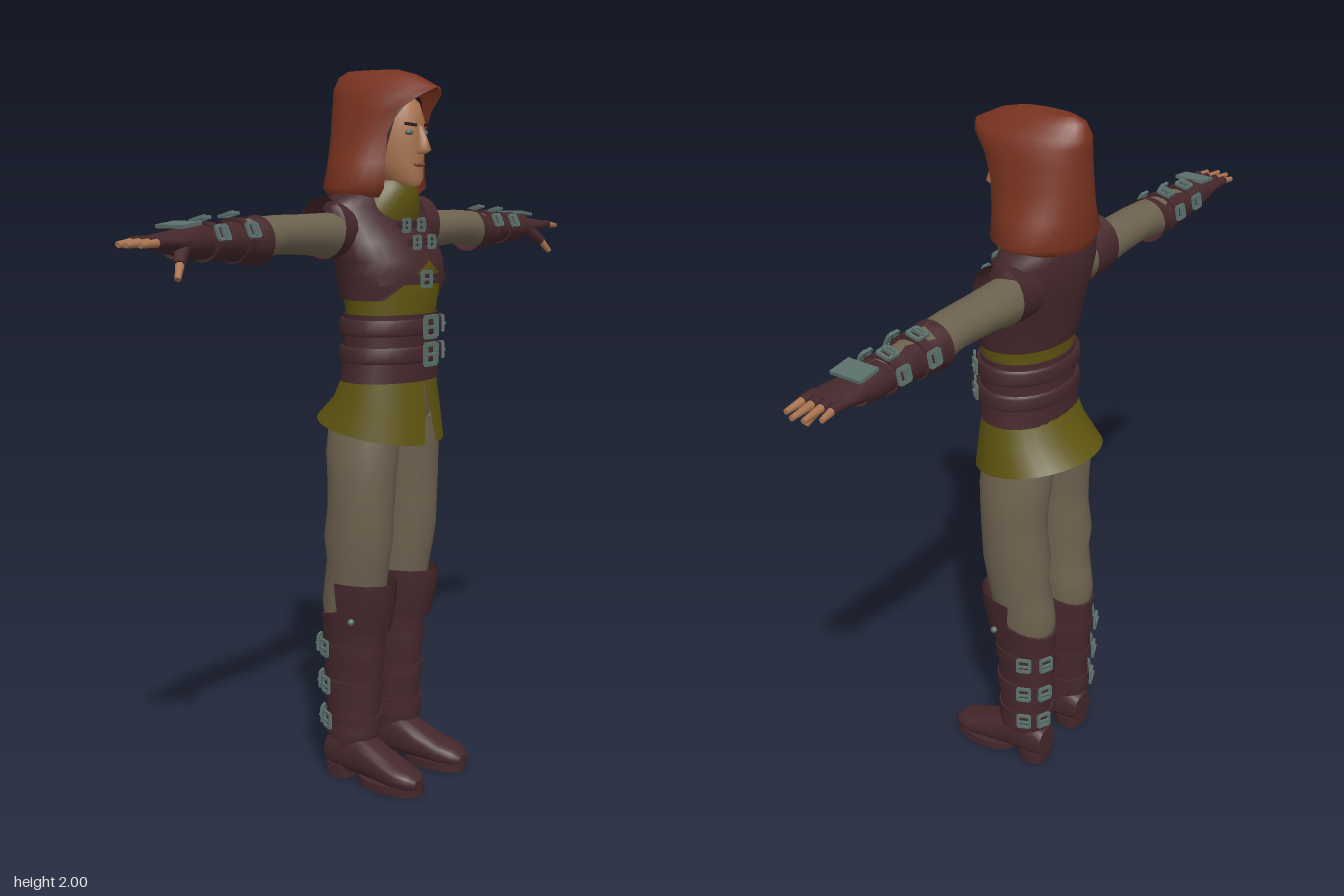
import * as THREE from 'three';
import { mergeGeometries } from 'three/addons/utils/BufferGeometryUtils.js';

const mat = (name, color, side = THREE.FrontSide) => {
  const m = new THREE.MeshStandardMaterial({ color, side });
  m.name = name;
  return m;
};
const HALF = Math.PI / 2;

// Lofted skin through elliptical rings. Each row: [height, cx, cz, rx, rz, halfGap, tilt].
// halfGap leaves an opening centred on angle `mid` (default: the front).
function loft(rows, { n = 20, exp = 2, mid = HALF, caps = true } = {}) {
  const open = rows.some(r => r[5] > 0);
  const w = open ? n + 1 : n, pos = [], idx = [];
  const pw = v => Math.sign(v) * Math.abs(v) ** (2 / exp);
  const ring = ([h, cx, cz, rx, rz, gap = 0, tilt = 0]) => {
    for (let j = 0; j < w; j++) {
      const a = mid + gap + (j / n) * (2 * Math.PI - 2 * gap);
      pos.push(cx + rx * pw(Math.cos(a)), h + tilt * Math.sin(a), cz + rz * pw(Math.sin(a)));
    }
  };
  rows.forEach(ring);
  for (let i = 0; i < rows.length - 1; i++) for (let j = 0; j < n; j++) {
    const k = (j + 1) % w, a = i * w + j, c = i * w + k;
    idx.push(a, a + w, c, c, a + w, c + w);
  }
  if (caps) [rows[0], rows[rows.length - 1]].forEach((r, top) => {
    const s = pos.length / 3;
    ring(r);
    pos.push(r[1], r[0], r[2]);
    for (let j = 0; j < n; j++) {
      const k = s + (j + 1) % w;
      idx.push(s + w, top ? k : s + j, top ? s + j : k);
    }
  });
  const g = new THREE.BufferGeometry();
  g.setAttribute('position', new THREE.Float32BufferAttribute(pos, 3));
  g.setIndex(idx);
  g.computeVertexNormals();
  return g;
}
// Arm rows are [x, y, z, ry, rz, halfGap]; built upright, then laid along +x
const along = g => g.rotateZ(-HALF);
const armLoft = (rows, o) => along(loft(rows.map(([x, y, ...r]) => [x, -y, ...r]), o));

const box = (w, h, d, x, y, z) => new THREE.BoxGeometry(w, h, d).translate(x, y, z);
function buckle(w, h, t = 0.008) {
  return mergeGeometries([
    box(w, t, t, 0, h / 2, 0), box(w, t, t, 0, -h / 2, 0),
    box(t, h, t, -w / 2, 0, 0), box(t, h, t, w / 2, 0, 0), box(w, t * 0.7, t, 0, 0, 0.004)]);
}
// Buckle seated on an elliptical ring at angle a
const buckleOn = (a, h, cx, cz, rx, rz, w, t) => buckle(w, t).rotateY(HALF - a)
  .translate(cx + rx * Math.cos(a), h, cz + rz * Math.sin(a));
const rod = (p, q, r0, r1) => {
  const a = new THREE.Vector3(...p), d = new THREE.Vector3(...q).sub(a);
  const g = new THREE.CylinderGeometry(r1, r0, d.length(), 8).translate(0, d.length() / 2, 0);
  const turn = new THREE.Quaternion().setFromUnitVectors(new THREE.Vector3(0, 1, 0), d.normalize());
  return g.applyQuaternion(turn).translate(a.x, a.y, a.z);
};
function mirrored(g) {
  const m = g.clone().scale(-1, 1, 1), i = m.index.array;
  for (let k = 0; k < i.length; k += 3) [i[k], i[k + 1]] = [i[k + 1], i[k]];
  return m;
}

export function createModel() {
  const D = THREE.DoubleSide;
  const red = mat('hoodCloth', 0x78321f, D), brown = mat('leather', 0x44272b, D);
  const green = mat('tunicCloth', 0x5e540f, D), tan = mat('linen', 0x6d624f);
  const skin = mat('skin', 0xa8734f), metal = mat('metal', 0x5a706b);
  const hair = mat('hair', 0x2c1b15, D), lip = mat('lips', 0x84503c);
  const model = new THREE.Group();
  const add = (name, g, m) => {
    const mesh = new THREE.Mesh(g, m);
    mesh.name = name;
    model.add(mesh);
  };
  const pair = (name, g, m) => {
    add(name + 'Left', g, m);
    add(name + 'Right', mirrored(g), m);
  };

  // Head and face
  add('head', loft([[1.69, 0, 0.065, 0.028, 0.042], [1.71, 0, 0.045, 0.05, 0.07], [1.75, 0, 0.022, 0.067, 0.09],
    [1.8, 0, 0.008, 0.077, 0.107], [1.86, 0, 0, 0.08, 0.115], [1.91, 0, -0.01, 0.074, 0.11],
    [1.95, 0, -0.02, 0.05, 0.075]], { n: 24 }), skin);
  add('neck', loft([[1.6, 0, -0.03, 0.055, 0.06], [1.74, 0, -0.01, 0.053, 0.06]]), skin);
  add('nose', loft([[1.775, 0, 0.11, 0.014, 0.018], [1.785, 0, 0.115, 0.019, 0.032],
    [1.815, 0, 0.11, 0.012, 0.026], [1.85, 0, 0.105, 0.009, 0.012]], { n: 10 }), skin);
  add('lips', new THREE.SphereGeometry(1, 12, 8).scale(0.024, 0.008, 0.012).translate(0, 1.748, 0.108), lip);
  pair('eye', new THREE.SphereGeometry(1, 10, 8).scale(0.016, 0.008, 0.01).translate(0.034, 1.832, 0.1), metal);
  pair('eyebrow', box(0.036, 0.007, 0.008, 0, 0, 0).rotateY(0.35).rotateZ(0.12).translate(0.036, 1.853, 0.106), hair);
  add('hair', loft([[1.72, 0, 0, 0.08, 0.1, 1.15], [1.8, 0, 0, 0.088, 0.115, 1.05], [1.87, 0, -0.005, 0.088, 0.122, 0.85],
    [1.92, 0, -0.015, 0.075, 0.12, 0.35], [1.955, 0, -0.02, 0.05, 0.08, 0]], { n: 20, caps: false }), hair);

  // Hood with a peaked brim
  add('hood', loft([[1.66, 0, -0.045, 0.13, 0.115, 0.75], [1.685, 0, -0.04, 0.165, 0.13, 0.65],
    [1.75, 0, -0.035, 0.135, 0.135, 0.76], [1.83, 0, -0.022, 0.113, 0.148, 0.92], [1.89, 0, -0.012, 0.106, 0.157, 0.82],
    [1.93, 0, 0, 0.095, 0.17, 0.5], [1.95, 0, -0.002, 0.084, 0.17, 0.03], [1.985, 0, -0.03, 0.055, 0.127, 0],
    [2, 0, -0.045, 0.025, 0.085, 0]], { n: 28, caps: false }), red);
  add('hoodCrown', loft([[1.99, 0, -0.045, 0.02, 0.08], [2, 0, -0.045, 0.025, 0.085]], { n: 28 }), red);

  // Tunic, collar and skirt
  add('tunic', loft([[1.15, 0, 0.01, 0.15, 0.108], [1.34, 0, 0.015, 0.145, 0.112], [1.41, 0, 0.015, 0.157, 0.122],
    [1.5, 0, 0, 0.172, 0.125]], { n: 28 }), green);
  add('collar', loft([[1.61, 0, -0.005, 0.12, 0.075, 0, -0.02], [1.65, 0, 0, 0.105, 0.085, 0, -0.01],
    [1.685, 0, 0, 0.085, 0.085], [1.705, 0, 0, 0.07, 0.072]], { n: 24, caps: false }), green);
  add('skirt', loft([[1.02, 0, -0.022, 0.186, 0.176, 0.16, -0.035], [1.1, 0, 0, 0.17, 0.138, 0.06, -0.01],
    [1.175, 0, 0.01, 0.155, 0.115, 0, 0]], { n: 32, caps: false }), green);

  // Vest with an arched front hem and flared shoulders
  add('vest', loft([[1.385, 0, 0.015, 0.164, 0.124, 0.95], [1.42, 0, 0.016, 0.17, 0.132, 0.65], [1.45, 0, 0.014, 0.175, 0.135, 0.35],
    [1.49, 0, 0.008, 0.182, 0.135, 0.01], [1.54, 0, -0.012, 0.188, 0.125, 0], [1.59, 0, -0.033, 0.195, 0.108, 0],
    [1.635, 0, -0.043, 0.2, 0.092, 0], [1.66, 0, -0.045, 0.17, 0.085, 0], [1.685, 0, -0.035, 0.1, 0.075, 0]], { n: 32 }), brown);
  pair('shoulderCap', armLoft([[0.13, 1.57, -0.05, 0.075, 0.075], [0.19, 1.575, -0.05, 0.077, 0.08],
    [0.222, 1.58, -0.05, 0.083, 0.08]], { caps: false }), brown);
  const front = { n: 20, mid: -HALF, caps: false };
  add('chestStrap', loft([[1.428, 0, 0.016, 0.178, 0.138, 2.1], [1.455, 0, 0.015, 0.179, 0.139, 2.1]], front), brown);
  add('chestBuckle', buckle(0.04, 0.04).translate(-0.03, 1.442, 0.156), metal);
  [[1.585, 0.084], [1.54, 0.119]].forEach(([y, z]) => {
    add('vestClasp', box(0.12, 0.02, 0.012, 0, y, z), brown);
    pair('vestBuckle', buckle(0.026, 0.032).translate(0.035, y, z + 0.008), metal);
  });

  // Corset belt with two straps
  add('corset', loft([[1.16, 0, 0.01, 0.166, 0.12], [1.2, 0, 0.012, 0.161, 0.118], [1.28, 0, 0.014, 0.152, 0.117],
    [1.345, 0, 0.016, 0.152, 0.12]], { n: 28 }), brown);
  [1.235, 1.31].forEach(y => {
    add('beltStrap', loft([[y - 0.022, 0, 0.014, 0.164, 0.124], [y - 0.015, 0, 0.014, 0.168, 0.13],
      [y + 0.015, 0, 0.014, 0.167, 0.13], [y + 0.022, 0, 0.014, 0.16, 0.124]], { n: 28 }), brown);
    add('beltBuckle', buckle(0.05, 0.055, 0.011).translate(0, y, 0.15), metal);
    [0.92, 0.62].forEach(a => add('beltFitting', buckleOn(a, y, 0, 0.014, 0.17, 0.133, 0.022, 0.036), metal));
  });

  // Trousers
  add('hips', loft([[0.97, 0, -0.012, 0.09, 0.07], [1.01, 0, -0.014, 0.155, 0.112], [1.08, 0, -0.008, 0.16, 0.115],
    [1.16, 0, 0.005, 0.148, 0.105]], { n: 24 }), tan);
  pair('trouserLeg', loft([[0.46, 0.1, -0.045, 0.07, 0.085], [0.52, 0.1, -0.045, 0.074, 0.095], [0.57, 0.102, -0.036, 0.077, 0.095],
    [0.65, 0.106, -0.022, 0.08, 0.094], [0.72, 0.107, -0.02, 0.085, 0.104], [0.8, 0.107, -0.012, 0.086, 0.098],
    [0.88, 0.105, -0.01, 0.088, 0.1], [0.96, 0.1, -0.012, 0.088, 0.108], [1.05, 0.085, -0.012, 0.08, 0.112]]), tan);

  // Boots with knee guards and side buckles
  pair('bootShaft', loft([[0.13, 0.104, -0.045, 0.07, 0.078], [0.15, 0.104, -0.045, 0.072, 0.083], [0.2, 0.1, -0.045, 0.066, 0.08],
    [0.34, 0.097, -0.045, 0.07, 0.092], [0.44, 0.098, -0.043, 0.076, 0.097], [0.51, 0.1, -0.04, 0.08, 0.102, 0, 0.03]]), brown);
  pair('kneeGuard', loft([[0.45, 0.1, -0.03, 0.078, 0.102, 1.5], [0.54, 0.102, -0.032, 0.086, 0.126, 1.5],
    [0.595, 0.103, -0.035, 0.088, 0.132, 1.5]], { n: 8, mid: -HALF, caps: false }), brown);
  pair('kneeStud', new THREE.SphereGeometry(0.01, 8, 6).translate(0.184, 0.49, 0.01), metal);
  [0.18, 0.285, 0.395].forEach((y, i) => {
    const r = 0.072 + i * 0.003, q = 0.087 + i * 0.005;
    pair('bootStrap', loft([[y - 0.016, 0.099, -0.045, r, q], [y + 0.016, 0.099, -0.045, r, q]]), brown);
    [-0.45, -1.15].forEach(a => pair('bootBuckle', buckleOn(a, y, 0.099, -0.045, r + 0.008, q + 0.008, 0.036, 0.04), metal));
  });
  pair('ankle', loft([[0.05, 0.1, -0.055, 0.05, 0.06], [0.14, 0.1, -0.045, 0.052, 0.072]]), brown);
  // Foot rows run along z: [z, x, -y, halfWidth, halfHeight]
  pair('foot', loft([[-0.122, 0.1, -0.07, 0.04, 0.045], [-0.09, 0.1, -0.08, 0.052, 0.06], [0, 0.1, -0.076, 0.053, 0.06],
    [0.06, 0.105, -0.06, 0.054, 0.045], [0.13, 0.112, -0.045, 0.055, 0.031], [0.175, 0.114, -0.039, 0.044, 0.025],
    [0.195, 0.114, -0.032, 0.022, 0.014]], { exp: 2.6 }).rotateX(HALF), brown);
  pair('sole', loft([[0, 0.111, 0.095, 0.055, 0.103], [0.024, 0.111, 0.095, 0.055, 0.103]], { exp: 2.4 }), brown);
  pair('heel', loft([[0, 0.1, -0.08, 0.048, 0.042], [0.04, 0.1, -0.08, 0.05, 0.044]], { exp: 3 }), brown);

  // Sleeves and laced bracers
  pair('sleeve', armLoft([[0.1, 1.565, -0.05, 0.058, 0.062], [0.2, 1.56, -0.052, 0.06, 0.064], [0.3, 1.565, -0.052, 0.053, 0.06],
    [0.42, 1.568, -0.052, 0.05, 0.058], [0.5, 1.56, -0.052, 0.054, 0.058], [0.6, 1.557, -0.053, 0.045, 0.052],
    [0.72, 1.56, -0.053, 0.036, 0.045]]), tan);
  pair('bracer', armLoft([[0.49, 1.556, -0.052, 0.064, 0.065, 0.01], [0.52, 1.556, -0.052, 0.06, 0.062, 0.01],
    [0.53, 1.556, -0.052, 0.058, 0.061, 0.75], [0.61, 1.557, -0.053, 0.049, 0.056, 0.25], [0.69, 1.56, -0.053, 0.043, 0.051, 0.75],
    [0.7, 1.56, -0.053, 0.043, 0.051, 0.01], [0.74, 1.56, -0.052, 0.046, 0.053, 0.01], [0.785, 1.56, -0.05, 0.04, 0.052, 0.01]],
  { n: 24, mid: Math.PI, caps: false }), brown);
  [[0.57, 0.057, 0.062], [0.675, 0.049, 0.056]].forEach(([x, ry, rz]) => {
    pair('bracerStrap', armLoft([[x - 0.013, 1.558, -0.053, ry, rz], [x + 0.013, 1.558, -0.053, ry, rz]]), brown);
    [2.0, 3.4, 4.5].forEach(a => pair('bracerBuckle',
      along(buckleOn(a, x, -1.558, -0.053, ry + 0.008, rz + 0.007, 0.034, 0.036)), metal));
  });
  pair('handPlate', box(0.065, 0.009, 0.09, 0, 0, 0).rotateZ(-0.12).translate(0.77, 1.602, -0.05), metal);

  // Gloved hands with bare fingertips
  pair('glove', armLoft([[0.76, 1.56, -0.05, 0.036, 0.046], [0.8, 1.56, -0.046, 0.029, 0.053], [0.85, 1.564, -0.042, 0.019, 0.055],
    [0.872, 1.565, -0.042, 0.012, 0.052]]), brown);
  [[-0.085, 0.93], [-0.057, 0.955], [-0.029, 0.96], [-0.001, 0.945]].forEach(([z, tip]) => {
    pair('gloveFinger', rod([0.85, 1.565, z], [0.892, 1.565, z], 0.014, 0.013), brown);
    pair('finger', rod([0.88, 1.565, z], [tip, 1.56, z * 1.08], 0.011, 0.007), skin);
  });
  pair('gloveThumb', rod([0.795, 1.55, -0.015], [0.835, 1.512, 0.012], 0.02, 0.015), brown);
  pair('thumb', rod([0.83, 1.516, 0.01], [0.858, 1.48, 0.028], 0.012, 0.008), skin);

  return model;
}
